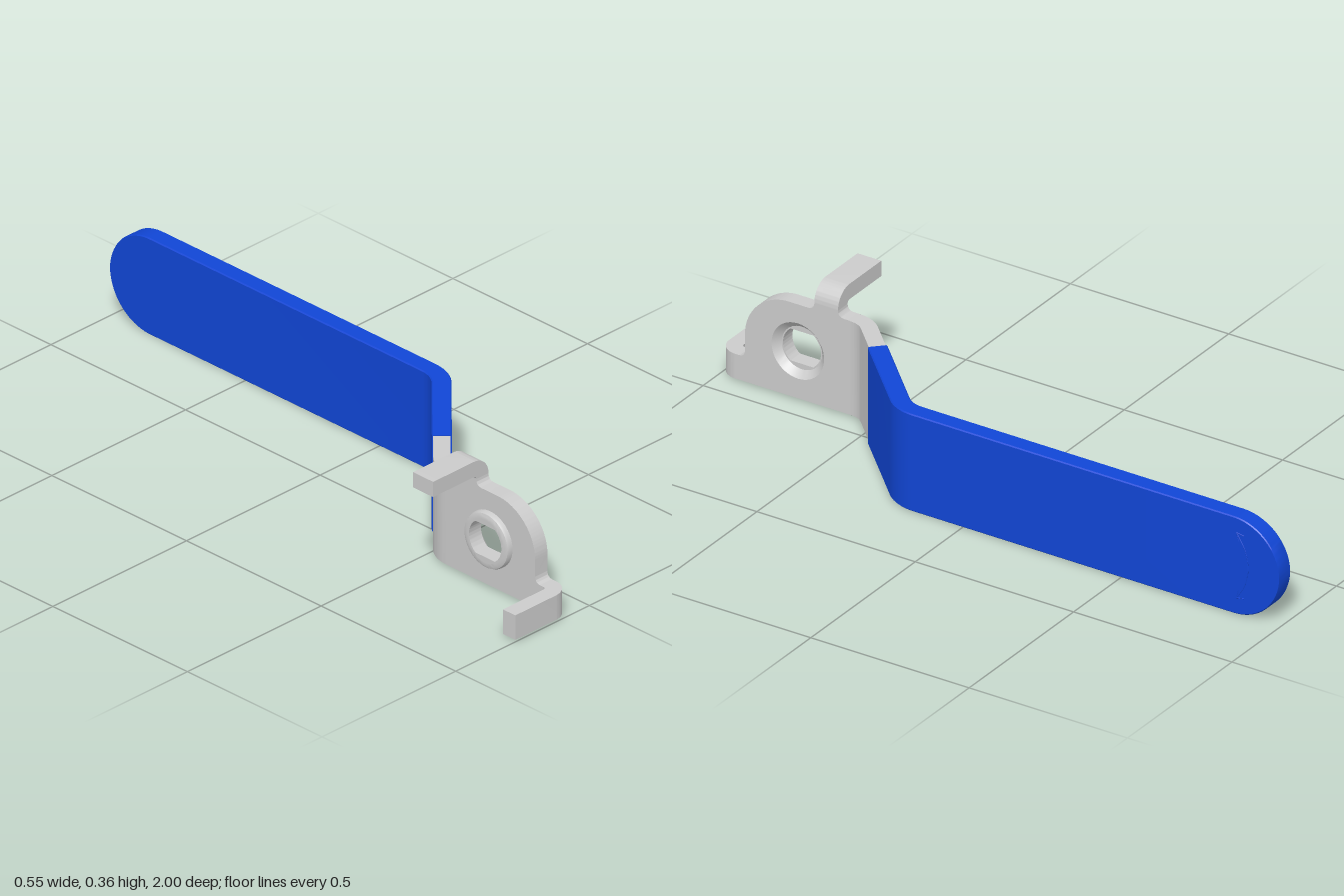
import * as THREE from 'three';
import { toCreasedNormals } from 'three/addons/utils/BufferGeometryUtils.js';

const grey = new THREE.MeshStandardMaterial({ color: 0xcccccc });
const blue = new THREE.MeshStandardMaterial({ color: 0x1146d6 });
const FACE = -0.07, T = 0.046;          // outer face and thickness of the steel plate
const HOLE_U = -0.747, HOLE_Y = 0.148;  // spindle hole centre (u = -z)

function mesh(name, geometry, material = grey) {
  const m = new THREE.Mesh(toCreasedNormals(geometry, 0.5), material);
  m.name = name;
  return m;
}

// Shape drawn in (u = -z, y), extruded along +x from x0
function sidePlate(shape, x0, depth) {
  return new THREE.ExtrudeGeometry(shape, { depth, bevelEnabled: false, curveSegments: 24 })
    .rotateY(Math.PI / 2).translate(x0, 0, 0);
}

// Walks along a bent centreline; theta 0 heads to -z, positive turns to +x
function walker(x, z, theta = 0) {
  const stations = [];
  const mark = (h) => stations.push({ x, z, theta, h });
  const go = (d) => { x += Math.sin(theta) * d; z -= Math.cos(theta) * d; };
  return {
    stations, mark,
    line(d, h) { go(d); mark(h); },
    bend(radius, angle, h, n = 10) {
      const step = angle / n;
      for (let i = 0; i < n; i++) {
        theta += step / 2;
        go(2 * radius * Math.sin(Math.abs(step) / 2));
        theta += step / 2;
        mark(h);
      }
    },
  };
}

// Lofts a chamfered rectangle (half thickness w, half height h) through the stations
function strip(stations, w, yc, b) {
  const pos = [], idx = [], N = 8;
  for (const { x, z, theta, h } of stations) {
    const k = Math.max(h - b, 0);
    const ring = [[w, -k], [w, k], [w - b, h], [b - w, h], [-w, k], [-w, -k], [b - w, -h], [w - b, -h]];
    for (const [n, y] of ring) pos.push(x - Math.cos(theta) * n, yc + y, z - Math.sin(theta) * n);
  }
  const last = (stations.length - 1) * N;
  for (let i = 0; i < last; i += N) {
    for (let j = 0; j < N; j++) {
      const a = i + j, c = i + (j + 1) % N;
      idx.push(a, c, c + N, a, c + N, a + N);
    }
  }
  for (let j = 1; j < N - 1; j++) idx.push(0, j + 1, j, last, last + j, last + j + 1);
  const g = new THREE.BufferGeometry();
  g.setAttribute('position', new THREE.Float32BufferAttribute(pos, 3));
  g.setIndex(idx);
  return g.toNonIndexed();
}

// Tab folded 90 degrees off the plate: a runs along the plate, b across it
function foldedTab(width) {
  const R = 0.055, r = R - T, s = new THREE.Shape();
  s.moveTo(0, 0);
  s.absarc(0, -R, R, Math.PI / 2, 0, true);
  s.lineTo(R, -0.207);
  s.lineTo(r, -0.207);
  s.lineTo(r, -R);
  s.absarc(0, -R, r, 0, Math.PI / 2, false);
  return new THREE.ExtrudeGeometry(s, { depth: width, bevelEnabled: false, curveSegments: 12 });
}

export function createModel() {
  const model = new THREE.Group();
  model.name = 'valveLever';
  const V = (x, y, z) => new THREE.Vector3(x, y, z);

  // Flat mounting plate with rounded shoulder
  const s = new THREE.Shape();
  s.moveTo(-0.58, 0.006);
  s.lineTo(-0.58, 0.288);
  s.lineTo(-0.6, 0.288);
  s.quadraticCurveTo(-0.62, 0.288, -0.62, 0.308);
  s.lineTo(-0.695, 0.308);
  s.quadraticCurveTo(-0.695, 0.288, -0.715, 0.288);
  s.lineTo(-0.774, 0.288);
  s.absarc(-0.774, 0.148, 0.14, Math.PI / 2, Math.PI, false);
  s.lineTo(-0.914, 0.1);
  s.quadraticCurveTo(-0.914, 0.08, -0.934, 0.08);
  s.lineTo(-0.945, 0.08);
  s.lineTo(-0.945, 0.006);
  s.holes.push(new THREE.Path().absarc(HOLE_U, HOLE_Y, 0.083, 0, Math.PI * 2, true));
  model.add(mesh('mountingPlate', sidePlate(s, FACE - T, T)));

  // Pressed boss: dished on the outside, raised on the inside
  const profile = [[0.064, -0.135], [0.073, -0.135], [0.08, -0.132], [0.083, -0.125], [0.083, FACE],
    [0.064, -0.09], [0.064, -0.135]].map(([r, x]) => new THREE.Vector2(r, x));
  const boss = new THREE.LatheGeometry(profile, 48).rotateZ(-Math.PI / 2).translate(0, HOLE_Y, -HOLE_U);
  model.add(mesh('boss', boss));

  // Boss floor with a two-flat spindle hole
  const floor = new THREE.Shape().absarc(HOLE_U, HOLE_Y, 0.064, 0, Math.PI * 2, false);
  const slot = new THREE.Path(), flat = Math.asin(0.048 / 0.06);
  slot.absarc(HOLE_U, HOLE_Y, 0.06, flat, -flat, true);
  slot.absarc(HOLE_U, HOLE_Y, 0.06, Math.PI + flat, Math.PI - flat, true);
  slot.closePath();
  floor.holes.push(slot);
  model.add(mesh('spindleHole', sidePlate(floor, -0.135, 0.045)));

  // Stop tabs, one folded from the top edge and one from the front edge
  const X = V(1, 0, 0), Y = V(0, 1, 0), Z = V(0, 0, 1);
  const top = foldedTab(0.075).applyMatrix4(
    new THREE.Matrix4().makeBasis(Y, X, V(0, 0, -1)).setPosition(FACE, 0.308, 0.695));
  const front = foldedTab(0.074).applyMatrix4(
    new THREE.Matrix4().makeBasis(Z, X, Y).setPosition(FACE, 0.006, 0.945));
  model.add(mesh('topStopTab', top), mesh('frontStopTab', front));

  // Bent steel neck running into the sleeve
  const neck = walker(FACE - T / 2, 0.58);
  neck.mark(0.141);
  neck.bend(0.085, Math.PI / 4, 0.141);
  neck.line(0.13, 0.141);
  model.add(mesh('neck', strip(neck.stations, T / 2, 0.147, 0.0005)));

  // Coated grip with a half-round end
  const H = 0.1455, grip = walker(0.0095, 0.4425, Math.PI / 4);
  grip.mark(H);
  grip.line(0.291, H);
  grip.bend(0.11, -Math.PI / 4, H);
  grip.line(0.159 + 1 - H, H);
  const steps = 24;
  for (let i = 1; i <= steps; i++) {
    const a = (i - 1) / steps * Math.PI / 2, c = i / steps * Math.PI / 2;
    grip.line(H * (Math.sin(c) - Math.sin(a)), Math.max(H * Math.cos(c), 0.002));
  }
  model.add(mesh('gripSleeve', strip(grip.stations, 0.0265, H, 0.003), blue));

  // Fine turning-direction arc with arrowheads on the grip face
  const mark = new THREE.Group();
  mark.name = 'directionArrow';
  const thin = (pts) => mark.add(mesh('arrowLine',
    new THREE.TubeGeometry(new THREE.CatmullRomCurve3(pts), 16, 0.0015, 5), blue));
  const fx = 0.2745;
  thin([V(fx, 0.246, -0.866), V(fx, 0.2, -0.893), V(fx, 0.148, -0.902), V(fx, 0.096, -0.893), V(fx, 0.05, -0.866)]);
  for (const d of [1, -1]) {
    const tip = V(fx, 0.148 + d * 0.098, -0.866);
    thin([tip, V(fx, tip.y - d * 0.004, -0.89)]);
    thin([tip, V(fx, tip.y - d * 0.024, -0.872)]);
  }
  model.add(mark);

  return model;
}
